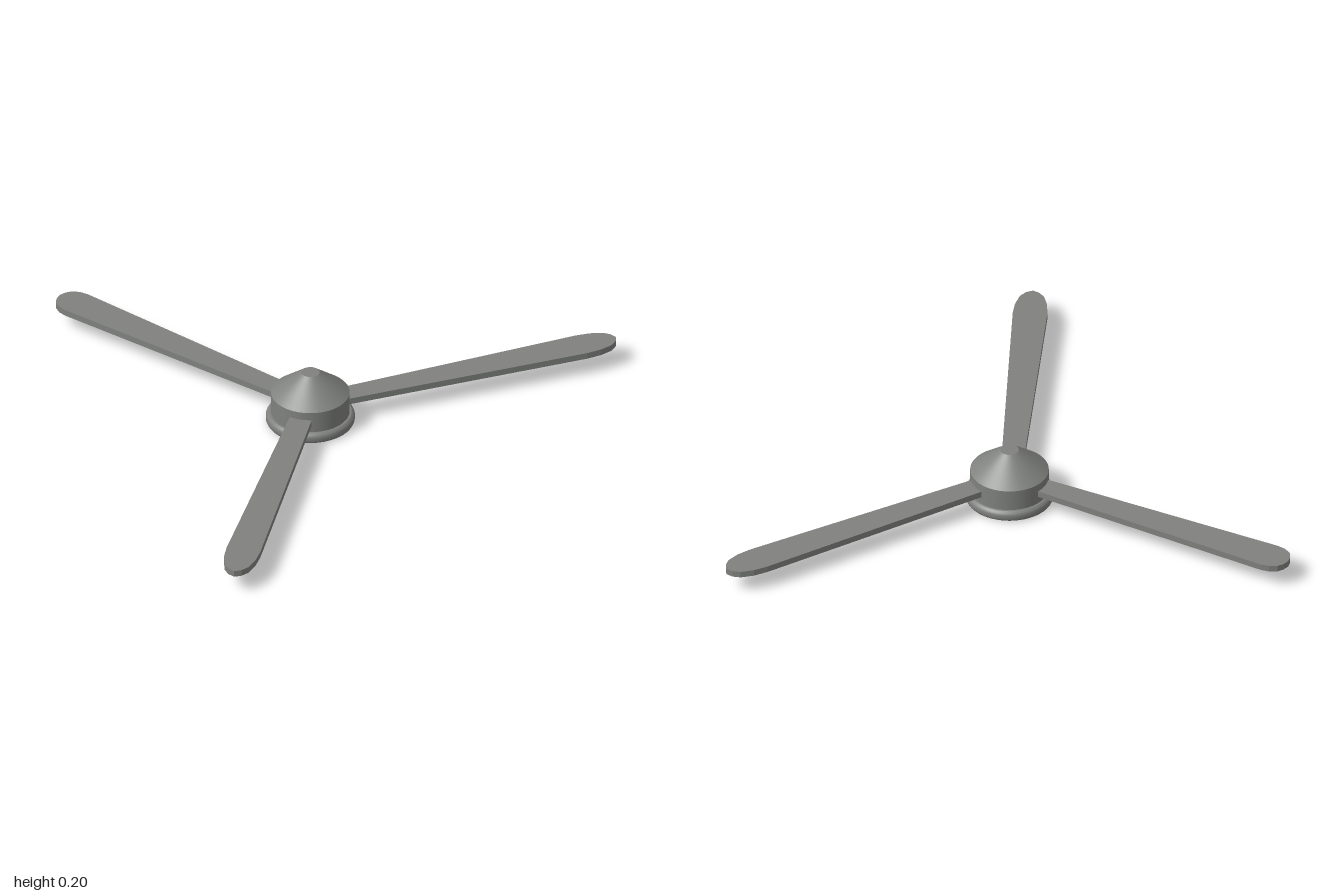
import * as THREE from 'three';

const HUB_X = 0.016, HUB_Z = 0.253;
const ROOT_HALF = 0.039;

// Rounded blade end: [fraction of tip length, fraction of half width]
const TIP = [[0, 1], [0.4, 0.93], [0.75, 0.7], [0.92, 0.38], [1, 0]];

// Flat tapered blade from a root point to a shoulder point (x, z), then a rounded tip
function bladeGeometry([rx, rz], [sx, sz], half, tipLength) {
  const root = new THREE.Vector2(rx, -rz);
  const shoulder = new THREE.Vector2(sx, -sz);
  const along = shoulder.clone().sub(root).normalize();
  const across = new THREE.Vector2(-along.y, along.x);
  const at = (origin, a, w) => origin.clone().addScaledVector(along, a).addScaledVector(across, w);

  const leftSide = TIP.map(([t, w]) => at(shoulder, t * tipLength, w * half));
  const rightSide = TIP.slice(0, -1).map(([t, w]) => at(shoulder, t * tipLength, -w * half));
  const outline = [
    at(root, 0, -ROOT_HALF), ...rightSide, ...leftSide.reverse(), at(root, 0, ROOT_HALF),
  ];
  const geometry = new THREE.ExtrudeGeometry(new THREE.Shape(outline), { depth: 0.023, bevelEnabled: false });
  return geometry.rotateX(-Math.PI / 2).translate(0, 0.066, 0);
}

export function createModel() {
  const model = new THREE.Group();
  model.name = 'propeller';
  const grey = new THREE.MeshStandardMaterial({ color: 0x80827f });
  grey.name = 'grey metal';

  const add = (name, geometry, parent) => {
    const mesh = new THREE.Mesh(geometry, grey);
    mesh.name = name;
    parent.add(mesh);
  };

  // Hub: round-edged base plate, drum and truncated nose cone
  const hub = new THREE.Group();
  hub.name = 'hub';
  hub.position.set(HUB_X, 0, HUB_Z);
  model.add(hub);

  const rim = [[0.143, 0], [0.15, 0.005], [0.154, 0.013], [0.154, 0.027], [0.15, 0.035], [0.143, 0.04]];
  add('baseRim', new THREE.LatheGeometry(rim.map(([r, y]) => new THREE.Vector2(r, y)), 48), hub);
  add('basePlate', new THREE.CylinderGeometry(0.143, 0.143, 0.04, 48).translate(0, 0.02, 0), hub);
  add('drum', new THREE.CylinderGeometry(0.136, 0.136, 0.08, 48).translate(0, 0.078, 0), hub);
  add('noseCone', new THREE.CylinderGeometry(0.032, 0.136, 0.082, 48).translate(0, 0.159, 0), hub);

  // Three blades, slightly unevenly set around the hub
  add('backBlade', bladeGeometry([0.007, 0.14], [-0.025, -0.765], 0.064, 0.075), model);
  add('leftBlade', bladeGeometry([0.105, 0.31], [0.885, 0.746], 0.06, 0.13), model);
  add('rightBlade', bladeGeometry([-0.09, 0.302], [-0.874, 0.695], 0.06, 0.14), model);

  return model;
}
